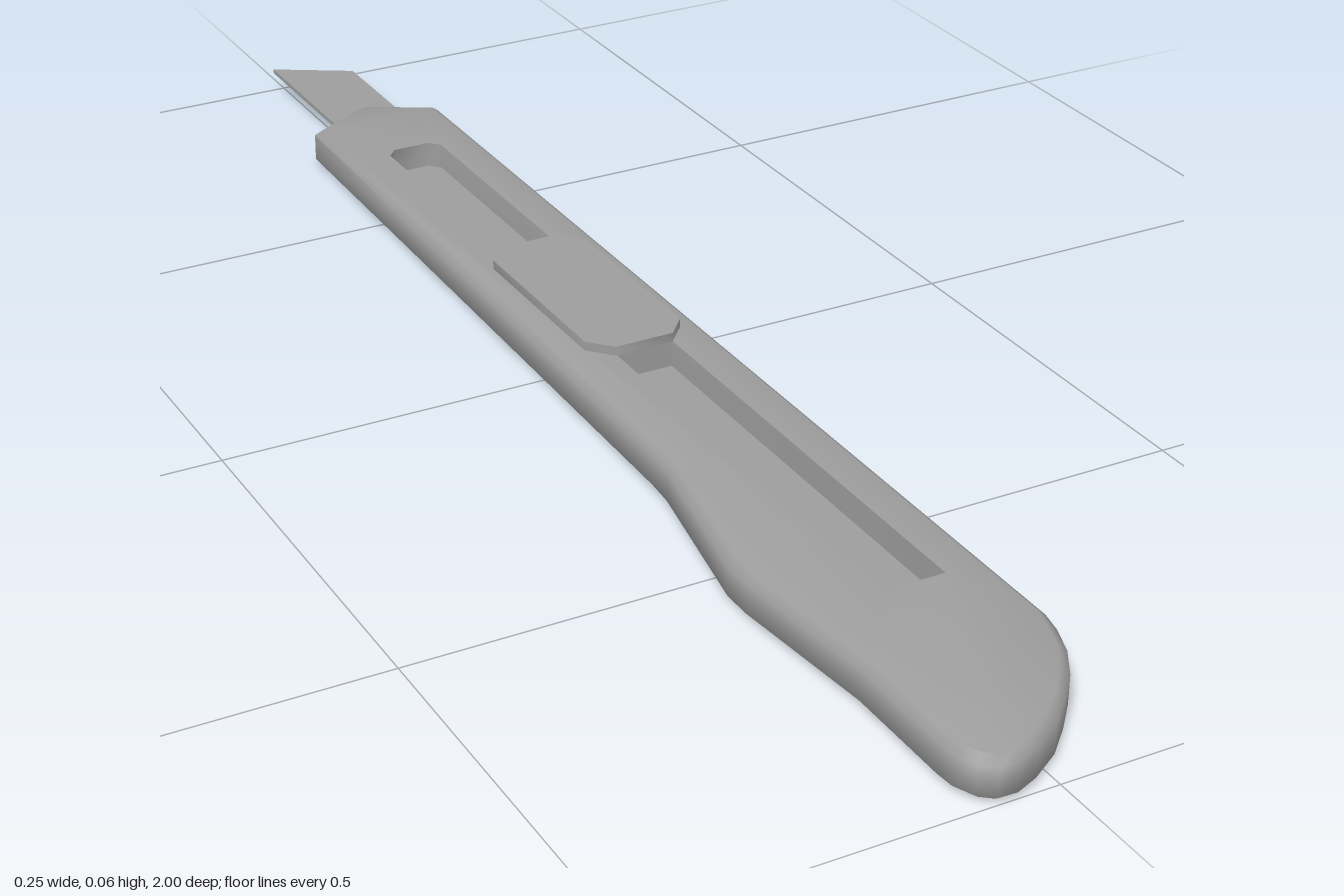
import * as THREE from 'three';
import { toCreasedNormals } from 'three/addons/utils/BufferGeometryUtils.js';

const material = new THREE.MeshStandardMaterial({ color: 0x9d9d9d });
const CREASE = 1.2;

// Plan points are given as [x, z]; stored as (x, -z) so they run counter-clockwise seen from above
const plan = (pts) => {
  const v = pts.map(([x, z]) => new THREE.Vector2(x, -z));
  return THREE.ShapeUtils.isClockWise(v) ? v.reverse() : v;
};

// Move every edge of a counter-clockwise outline inward by d
const inset = (pts, d) => pts.map((p, i) => {
  const n = pts.length;
  const a = p.clone().sub(pts[(i + n - 1) % n]).normalize();
  const b = pts[(i + 1) % n].clone().sub(p).normalize();
  const na = new THREE.Vector2(-a.y, a.x), nb = new THREE.Vector2(-b.y, b.x);
  return na.clone().add(nb).multiplyScalar(d / (1 + na.dot(nb))).add(p);
});

function namedMesh(name, geo) {
  const mesh = new THREE.Mesh(toCreasedNormals(geo, CREASE), material);
  mesh.name = name;
  return mesh;
}

// Flat vertical prism from a plan outline
function plate(name, pts, y0, y1) {
  const geo = new THREE.ExtrudeGeometry(new THREE.Shape(plan(pts)), { depth: y1 - y0, bevelEnabled: false });
  geo.rotateX(-Math.PI / 2).translate(0, y0, 0);
  return namedMesh(name, geo);
}

// Handle shell with softened edges and a sharp-edged pocket sunk into its top
function handle(outline, slot, height, floor) {
  const pos = [];
  const put = (p, y) => pos.push(p.x, y, -p.y);
  const band = (a, ya, b, yb) => a.forEach((p, i) => {
    const j = (i + 1) % a.length;
    put(p, ya); put(a[j], ya); put(b[j], yb);
    put(p, ya); put(b[j], yb); put(b[i], yb);
  });
  const cap = (pts, y, holes = [], down = false) => {
    const all = pts.concat(...holes);
    for (const f of THREE.ShapeUtils.triangulateShape(pts, holes)) {
      (down ? [f[0], f[2], f[1]] : f).forEach((k) => put(all[k], y));
    }
  };

  // Lower chamfer, straight wall, upper chamfer
  const rim = inset(outline, 0.01);
  const rise = 0.008;
  band(rim, 0, outline, rise);
  band(outline, rise, outline, height - rise);
  band(outline, height - rise, rim, height);

  // Underside, top with its opening, pocket walls and pocket floor
  cap(rim, 0, [], true);
  cap(rim, height, [slot.slice().reverse()]);
  band(slot, height, slot, floor);
  cap(slot, floor);

  const geo = new THREE.BufferGeometry();
  geo.setAttribute('position', new THREE.Float32BufferAttribute(pos, 3));
  return namedMesh('handle', geo);
}

export function createModel() {
  const group = new THREE.Group();
  group.name = 'utilityKnife';

  // Handle: pointed nose, straight back, rounded butt and a finger swell
  const outline = plan([
    [-0.066, -0.725], [0.012, -0.77], [0.028, -0.777], [0.044, -0.77], [0.125, -0.725],
    [0.125, 0.79], [0.119, 0.82], [0.105, 0.858], [0.082, 0.896], [0.052, 0.93], [0.018, 0.963],
    [-0.022, 0.988], [-0.052, 1], [-0.075, 0.999], [-0.093, 0.985], [-0.104, 0.96], [-0.106, 0.935],
    [-0.106, 0.79], [-0.126, 0.59], [-0.126, 0.55], [-0.086, 0.34], [-0.083, 0.3], [-0.071, -0.4],
  ]);
  const slot = plan([
    [-0.008, 0.68], [0.07, 0.68], [0.07, -0.595], [0.057, -0.61], [0.005, -0.61], [-0.008, -0.595],
  ]);
  group.add(handle(outline, slot, 0.053, 0.018));

  // Blade with a slanted tip
  group.add(plate('blade', [[-0.015, -1], [0.087, -0.94], [0.087, -0.64], [-0.015, -0.64]], 0.027, 0.033));

  // Thumb slider: stem in the slot and a wider cap above it
  const slider = new THREE.Group();
  slider.name = 'slider';
  slider.add(plate('sliderStem', [[-0.0075, -0.24], [0.0695, -0.24], [0.0695, 0.07], [-0.0075, 0.07]], 0.018, 0.054));
  slider.add(plate('sliderCap', [
    [-0.01, -0.242], [0.07, -0.242], [0.097, -0.212], [0.097, 0.042],
    [0.07, 0.072], [-0.01, 0.072], [-0.037, 0.042], [-0.037, -0.212],
  ], 0.053, 0.065));
  group.add(slider);

  return group;
}
